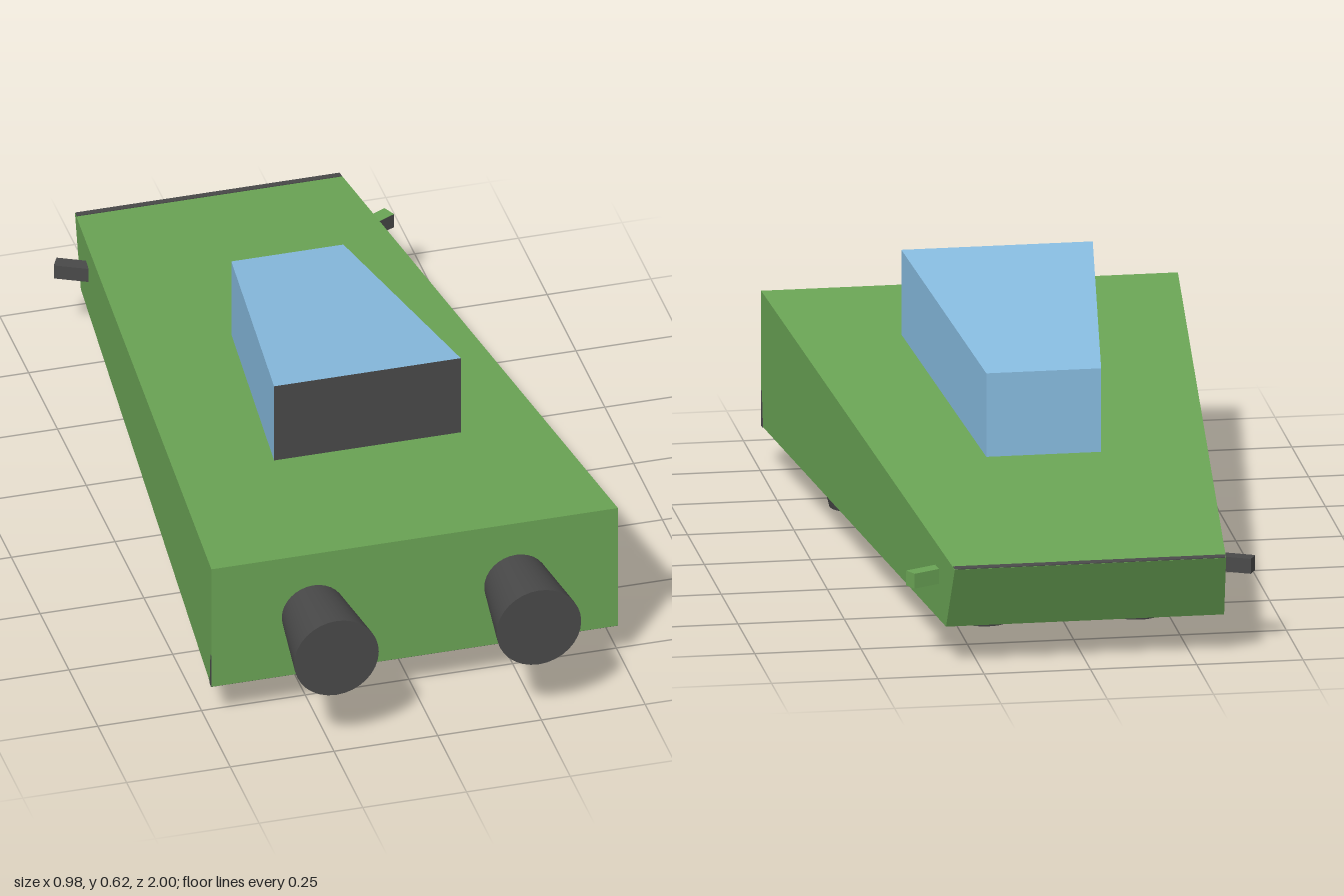
import * as THREE from 'three';

const mat = (name, color) => {
  const m = new THREE.MeshStandardMaterial({ color });
  m.name = name;
  return m;
};

// Box whose four long edges run between rear (+z) and nose (-z) corners, each given as [halfWidth, y, z].
function taperedBox(rearTop, rearBottom, noseTop, noseBottom) {
  const g = new THREE.BoxGeometry(1, 1, 1);
  const p = g.attributes.position;
  for (let i = 0; i < p.count; i++) {
    const top = p.getY(i) > 0;
    const [w, y, z] = p.getZ(i) > 0 ? (top ? rearTop : rearBottom) : (top ? noseTop : noseBottom);
    p.setXYZ(i, Math.sign(p.getX(i)) * w, y, z);
  }
  g.computeVertexNormals();
  return g;
}

export function createModel() {
  const model = new THREE.Group();
  const green = mat('green', 0x6aa455);
  const dark = mat('darkGrey', 0x494949);
  const blue = mat('blueGlass', 0x87bbdf);

  const add = (name, geometry, material, x = 0, y = 0, z = 0) => {
    const mesh = new THREE.Mesh(geometry, material);
    mesh.name = name;
    mesh.position.set(x, y, z);
    model.add(mesh);
    return mesh;
  };

  // Wedge hull with an undercut nose
  add('hull', taperedBox([0.49, 0.42, 0.8], [0.49, 0.095, 0.8], [0.319, 0.255, -1], [0.327, 0.095, -0.92]), green);

  // Thin dark trim on the nose edge and along the rear sill
  add('noseTrim', taperedBox([0.32, 0.2585, -0.982], [0.32, 0.255, -0.982],
    [0.318, 0.2568, -0.999], [0.318, 0.2535, -0.999]), dark);
  add('rearSill', taperedBox([0.491, 0.18, 0.799], [0.491, 0.094, 0.799],
    [0.4905, 0.18, 0.793], [0.4895, 0.094, 0.782]), dark);

  // Cabin, glazed all round except for its dark +z face
  add('cabin', taperedBox([0.225, 0.625, 0.39], [0.225, 0.42, 0.39], [0.135, 0.522, -0.305], [0.135, 0.32, -0.305]),
    [blue, blue, blue, blue, dark, blue]);

  const thruster = new THREE.CylinderGeometry(0.102, 0.075, 0.21, 32).rotateX(Math.PI / 2);
  const foot = new THREE.CylinderGeometry(0.086, 0.061, 0.1, 32);
  const fin = new THREE.BoxGeometry(0.1, 0.036, 0.034);

  for (const s of [-1, 1]) {
    add('thruster', thruster, dark, s * 0.244, 0.257, 0.895);
    add('rearFoot', foot, dark, s * 0.327, 0.05, 0.43);
    add('noseFoot', foot, dark, s * 0.178, 0.05, -0.55);

    // Small angled side fin; one is dark, the other partly green
    const finMaterial = s < 0 ? dark : [green, green, green, dark, dark, green];
    add('sideFin', fin, finMaterial, s * 0.358, 0.198, -0.848).rotation.y = s * 0.46;
  }
  return model;
}
